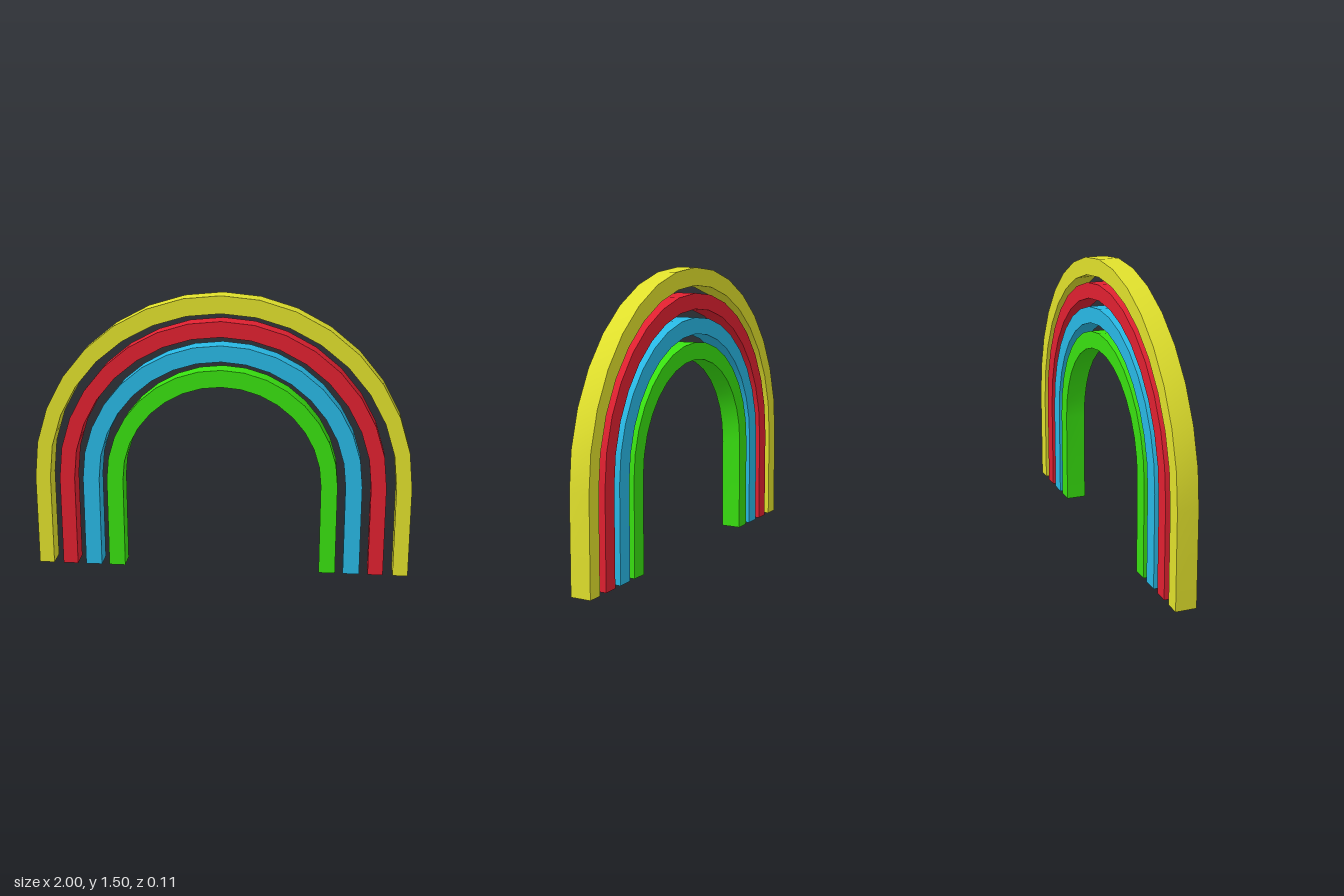
import * as THREE from 'three';
import { toCreasedNormals } from 'three/addons/utils/BufferGeometryUtils.js';

const SPRING = 0.495; // height where the straight legs meet the curve
const DEPTH = 0.108;
const SEGMENTS = 16;

// Half-ellipse points from the right leg over the top to the left leg
function archPoints(rx, ry) {
  const points = [];
  for (let i = 0; i <= SEGMENTS; i++) {
    const a = (i / SEGMENTS) * Math.PI;
    points.push(new THREE.Vector2(rx * Math.cos(a), SPRING + ry * Math.sin(a)));
  }
  return points;
}

// One band: outer outline up and over, inner outline back
function makeBand({ name, color, outer, inner, innerTop }) {
  const shape = new THREE.Shape([
    new THREE.Vector2(outer, 0),
    ...archPoints(outer, outer),
    new THREE.Vector2(-outer, 0),
    new THREE.Vector2(-inner, 0),
    ...archPoints(inner, innerTop - SPRING).reverse(),
    new THREE.Vector2(inner, 0),
  ]);
  const geometry = new THREE.ExtrudeGeometry(shape, { depth: DEPTH, bevelEnabled: false });
  geometry.translate(0, 0, -DEPTH / 2);
  const mesh = new THREE.Mesh(
    toCreasedNormals(geometry, Math.PI / 6),
    new THREE.MeshStandardMaterial({ color })
  );
  mesh.name = name;
  return mesh;
}

export function createModel() {
  const group = new THREE.Group();
  group.name = 'rainbow';
  const bands = [
    { name: 'yellowArch', color: 0xe0e02c, outer: 1.0, inner: 0.92, innerTop: 1.403 },
    { name: 'redArch', color: 0xe02030, outer: 0.868, inner: 0.788, innerTop: 1.281 },
    { name: 'blueArch', color: 0x28b8e4, outer: 0.742, inner: 0.655, innerTop: 1.152 },
    { name: 'greenArch', color: 0x38e010, outer: 0.613, inner: 0.526, innerTop: 1.018 },
  ];
  for (const band of bands) group.add(makeBand(band));
  return group;
}
